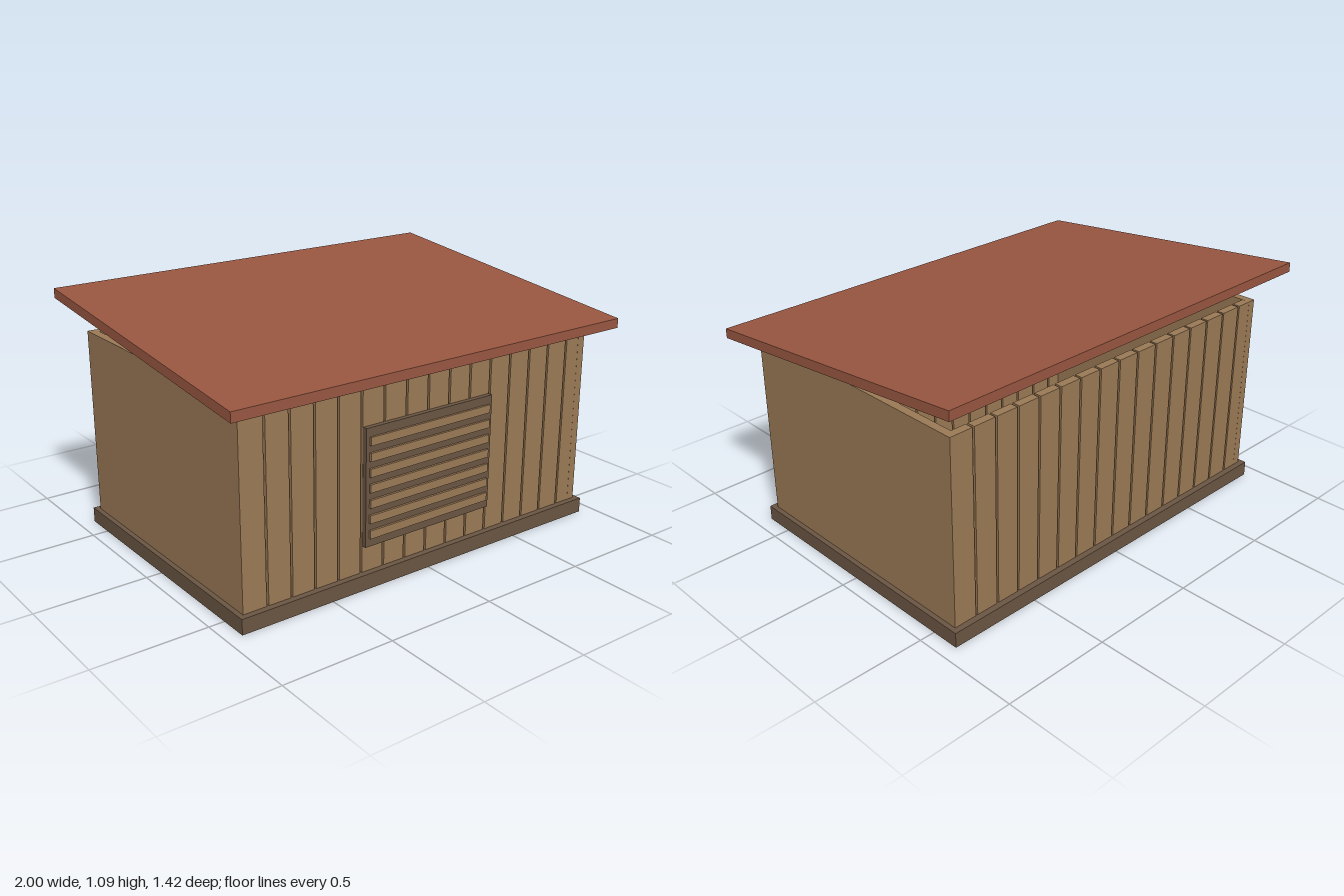
import * as THREE from 'three';

export function createModel() {
  const model = new THREE.Group();
  model.name = 'shed';

  const paint = (name, color) => {
    const m = new THREE.MeshStandardMaterial({ color });
    m.name = name;
    return m;
  };
  const wood = paint('plank wood', 0x9a7955);
  const dark = paint('dark timber', 0x6a5543);
  const red = paint('red roofing', 0x985640);

  // Box given by its extents on each axis
  const box = (name, material, [x0, x1], [y0, y1], [z0, z1], parent = model) => {
    const mesh = new THREE.Mesh(new THREE.BoxGeometry(x1 - x0, y1 - y0, z1 - z0), material);
    mesh.position.set((x0 + x1) / 2, (y0 + y1) / 2, (z0 + z1) / 2);
    mesh.name = name;
    parent.add(mesh);
    return mesh;
  };

  const floorTop = 0.068, wallTop = 0.91, halfW = 0.908, halfD = 0.603, thick = 0.037;

  box('base', dark, [-0.93, 0.93], [0, floorTop], [-0.63, 0.63]);

  // Solid side walls
  box('leftWall', wood, [halfW - thick, halfW], [floorTop, wallTop], [-halfD, halfD]);
  box('rightWall', wood, [-halfW, thick - halfW], [floorTop, wallTop], [-halfD, halfD]);

  // Front and back walls of spaced vertical planks
  const count = 16, pitch = 0.1135, plankW = 0.1035;
  for (const side of [1, -1]) {
    const wall = new THREE.Group();
    wall.name = side > 0 ? 'frontPlanks' : 'backPlanks';
    model.add(wall);
    const outer = halfD - 0.0005;
    const z = side > 0 ? [outer - thick, outer] : [-outer, thick - outer];
    for (let i = 0; i < count; i++) {
      const x = (i - (count - 1) / 2) * pitch;
      box('plank', wood, [x - plankW / 2, x + plankW / 2], [floorTop, wallTop - 0.0005], z, wall);
    }
  }

  // Louvred vent on the front
  const vent = new THREE.Group();
  vent.name = 'vent';
  model.add(vent);
  box('ventPanel', dark, [-0.335, 0.335], [0.187, 0.7], [0.6, 0.624], vent);
  for (let i = 0; i < 7; i++) {
    const y = 0.242 + i * 0.067;
    box('slat', wood, [-0.318, 0.318], [y - 0.018, y + 0.018], [0.615, 0.634], vent);
  }

  // Pitched roof slab, rising to the back with upright ends
  const roof = new THREE.BoxGeometry(2, 0.043, 1.42);
  const p = roof.attributes.position;
  for (let i = 0; i < p.count; i++) p.setY(i, p.getY(i) + 0.9945 - p.getZ(i) * 0.107);
  roof.computeVertexNormals();
  const roofMesh = new THREE.Mesh(roof, red);
  roofMesh.name = 'roof';
  model.add(roofMesh);

  return model;
}
